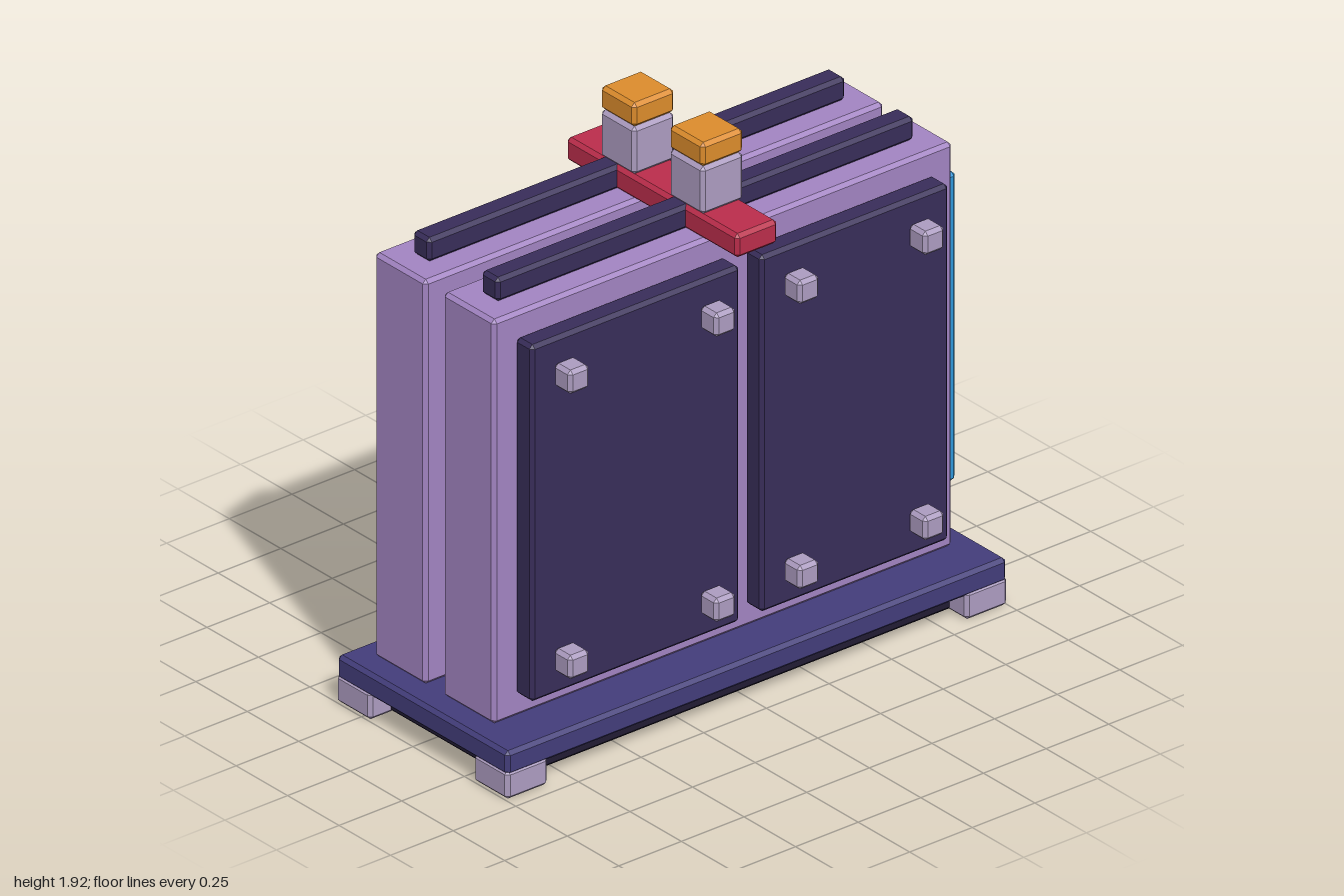
import * as THREE from 'three';
import { ConvexGeometry } from 'three/addons/geometries/ConvexGeometry.js';

const U = 1 / 12; // one grid unit; the model is 24 units long
const BEVEL = 0.15;

const material = (color) => new THREE.MeshStandardMaterial({ color, flatShading: true });

// Box with chamfered edges, as the hull of 24 corner points (three per corner)
function bevelBox(w, h, d, b = BEVEL) {
  const points = [];
  for (const sx of [-1, 1]) for (const sy of [-1, 1]) for (const sz of [-1, 1]) {
    const x = w / 2, y = h / 2, z = d / 2;
    points.push(
      new THREE.Vector3(sx * x, sy * (y - b), sz * (z - b)),
      new THREE.Vector3(sx * (x - b), sy * y, sz * (z - b)),
      new THREE.Vector3(sx * (x - b), sy * (y - b), sz * z));
  }
  return new ConvexGeometry(points.map((p) => p.multiplyScalar(U)));
}

export function createModel() {
  const model = new THREE.Group();
  model.name = 'generator';

  const purple = material(0xa284c2);
  const indigo = material(0x433d7a);
  const dark = material(0x382d59);
  const black = material(0x211b33);
  const pale = material(0xac9cc0);
  const red = material(0xba2d4b);
  const orange = material(0xdc8c2c);
  const blue = material(0x2e98dc);

  // Adds a box spanning the given ranges, in grid units
  function add(name, mat, [x0, x1], [y0, y1], [z0, z1]) {
    const mesh = new THREE.Mesh(bevelBox(x1 - x0, y1 - y0, z1 - z0), mat);
    mesh.position.set((x0 + x1) / 2, (y0 + y1) / 2, (z0 + z1) / 2).multiplyScalar(U);
    mesh.name = name;
    model.add(mesh);
  }

  // Base: slab, recessed plinth and corner feet
  add('baseSlab', indigo, [-4.48, 5.48], [1, 2], [-11.98, 11.98]);
  add('plinth', black, [-3.5, 4.5], [0.04, 1.2], [-11, 11]);
  for (const x of [-4.5, 3.5]) for (const z of [-12, 10]) {
    add('foot', pale, [x, x + 2], [0, 1.2], [z, z + 2]);
  }

  // Two tall cells, each with a top rail, back light strip and terminal
  for (const x of [-3.5, 0.5]) {
    add('cell', purple, [x, x + 3], [2, 19], [-11, 11]);
    add('topRail', dark, [x + 1, x + 2], [19, 20], [-10, 10]);
    add('lightStrip', blue, [x + 1, x + 2], [4, 17], [-12, -11]);
    add('terminalPost', pale, [x + 1, x + 3], [20, 22], [-1, 1]);
    add('terminalCap', orange, [x + 1, x + 3], [22, 23], [-1, 1]);
  }

  // Bar joining the terminals
  add('crossBar', red, [-4.5, 5.5], [19, 20], [-1, 1]);

  // Plates outside and between the cells, split in two along the length
  for (const x of [-4.5, -0.5, 3.5]) {
    add('frontPlate', dark, [x, x + 1], [3, 18], [0, 10]);
    add('backPlate', dark, [x, x + 1], [3, 18], [-10, -1]);
  }

  // Bolts on the outer plates
  for (const x of [-5.5, 4.5]) for (const y of [4, 16]) for (const z of [-9, -3, 1, 8]) {
    add('bolt', pale, [x, x + 1], [y, y + 1], [z, z + 1]);
  }

  return model;
}
